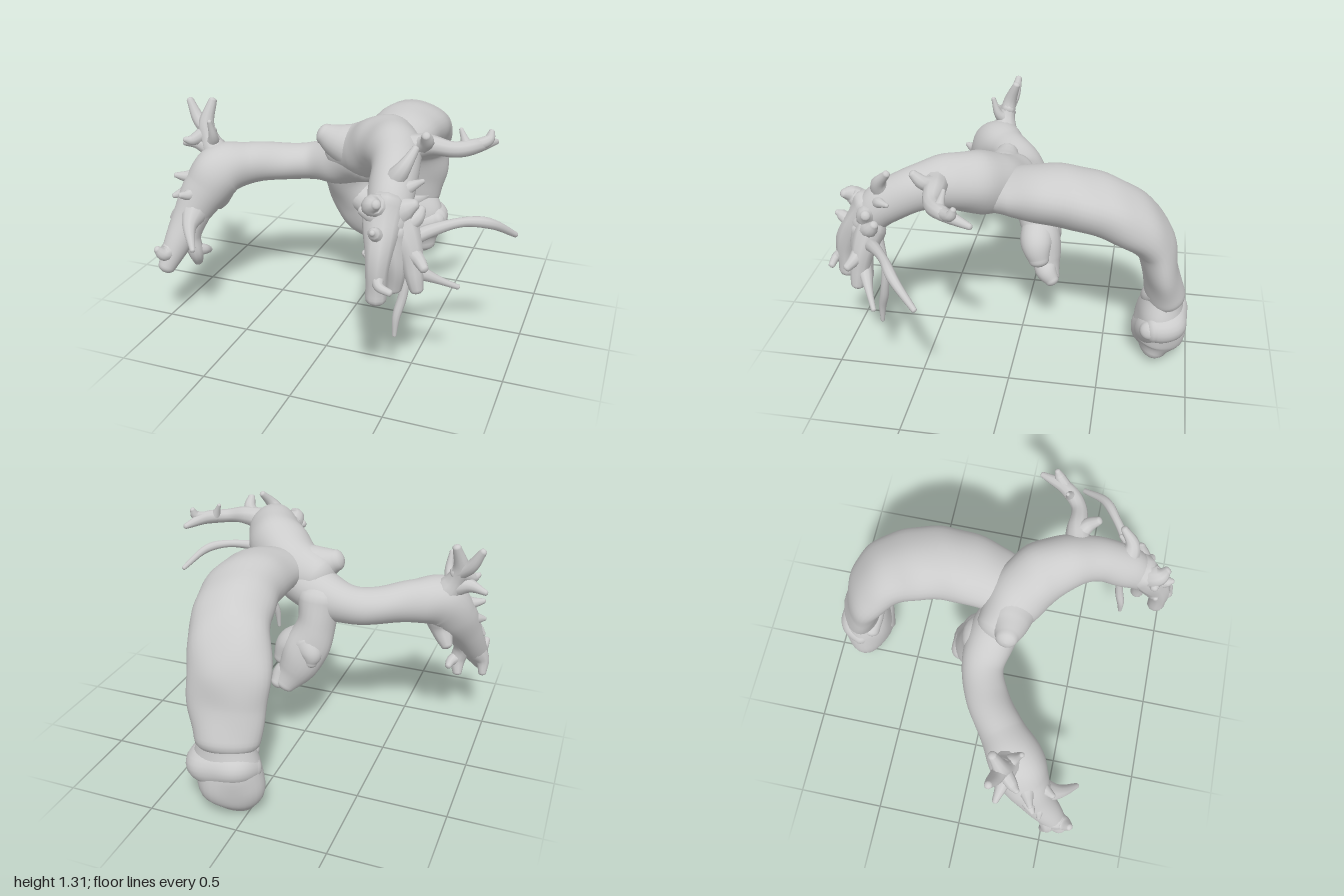
import * as THREE from 'three';

const material = new THREE.MeshStandardMaterial({ color: 0xcccccc });

// Gentle, repeatable unevenness of the vessel wall
const lump = (p) => Math.sin(p.x * 23 + 1) * Math.sin(p.y * 19 + 2) + 0.6 * Math.sin(p.z * 27 + p.x * 13);

// Closed, round-ended tube through points [x, y, z, radius, optional second radius]
function vessel(name, points, { sides = 14, bumps = 0.05, cap = 0.7 } = {}) {
  const path = new THREE.CatmullRomCurve3(points.map(p => new THREE.Vector3(p[0], p[1], p[2])));
  const size = new THREE.CatmullRomCurve3(
    points.map(p => new THREE.Vector3(p[3], p[4] ?? p[3], 0)), false, 'catmullrom');
  const steps = (points.length - 1) * 8, rings = [];
  let normal = null;
  const addRing = (t, shift, scale) => {
    const tangent = path.getTangent(t), s = size.getPoint(t);
    if (!normal) normal = Math.abs(tangent.x) < 0.8 ? new THREE.Vector3(1, 0, 0) : new THREE.Vector3(0, 0, 1);
    normal.addScaledVector(tangent, -normal.dot(tangent)).normalize();
    const binormal = new THREE.Vector3().crossVectors(tangent, normal);
    const centre = path.getPoint(t).addScaledVector(tangent, shift * Math.min(s.x, s.y) * cap);
    rings.push({ centre, n: normal.clone(), b: binormal, rx: s.x * scale, ry: s.y * scale });
  };
  for (let k = 5; k > 0; k--) addRing(0, -Math.sin(k * Math.PI / 10), Math.cos(k * Math.PI / 10) + 0.001);
  for (let i = 0; i <= steps; i++) addRing(i / steps, 0, 1);
  for (let k = 1; k <= 5; k++) addRing(1, Math.sin(k * Math.PI / 10), Math.cos(k * Math.PI / 10) + 0.001);

  const position = [], index = [], v = new THREE.Vector3();
  rings.forEach((r, i) => {
    for (let j = 0; j < sides; j++) {
      const a = j / sides * Math.PI * 2;
      v.copy(r.n).multiplyScalar(Math.cos(a) * r.rx).addScaledVector(r.b, Math.sin(a) * r.ry);
      const q = v.clone().add(r.centre);
      v.multiplyScalar(1 + bumps * lump(q)).add(r.centre);
      position.push(v.x, v.y, v.z);
      if (i < rings.length - 1) {
        const p = i * sides + j, n = i * sides + (j + 1) % sides;
        index.push(p, n, p + sides, n, n + sides, p + sides);
      }
    }
  });
  const geometry = new THREE.BufferGeometry();
  geometry.setAttribute('position', new THREE.Float32BufferAttribute(position, 3));
  geometry.setIndex(index);
  geometry.computeVertexNormals();
  const mesh = new THREE.Mesh(geometry, material);
  mesh.name = name;
  return mesh;
}

// A named bunch of vessels or lobes
function cluster(name, paths, options = { sides: 10, bumps: 0.12 }) {
  const group = new THREE.Group();
  group.name = name;
  paths.forEach((p, i) => group.add(vessel(`${name}${i + 1}`, p, options)));
  return group;
}

export function createModel() {
  const model = new THREE.Group();
  model.name = 'branchingVessel';
  const big = { sides: 32, bumps: 0.025 };

  // Wide arched trunk
  model.add(vessel('trunk', [
    [0.18, 1.04, 0.08, 0.16, 0.11], [0.19, 1.05, 0, 0.185, 0.125], [0.22, 1.065, -0.2, 0.2, 0.155],
    [0.22, 1.035, -0.42, 0.212, 0.152], [0.185, 0.94, -0.61, 0.215, 0.145], [0.125, 0.79, -0.745, 0.222, 0.12],
    [0.12, 0.6, -0.8, 0.21, 0.1], [0.11, 0.43, -0.84, 0.178, 0.112]], big));

  // Bulb at the lower end of the trunk, with its rim and folds
  model.add(vessel('bulb', [
    [0.12, 0.42, -0.84, 0.15, 0.1], [0.12, 0.32, -0.83, 0.18, 0.135], [0.11, 0.22, -0.83, 0.19, 0.15],
    [0.11, 0.13, -0.825, 0.185, 0.14], [0.12, 0.06, -0.81, 0.15, 0.09]], { sides: 32, bumps: 0.04 }));
  model.add(cluster('bulbFold', [
    [[-0.02, 0.28, -0.82, 0.065], [0.03, 0.3, -0.885, 0.08], [0.14, 0.29, -0.9, 0.085], [0.24, 0.27, -0.87, 0.09], [0.27, 0.27, -0.79, 0.075]],
    [[0, 0.34, -0.77, 0.05], [0.12, 0.4, -0.77, 0.06], [0.21, 0.45, -0.79, 0.035]],
    [[0.14, 0.2, -0.8, 0.13], [0.24, 0.25, -0.78, 0.09], [0.3, 0.28, -0.77, 0.05]],
  ], { sides: 20, bumps: 0.06 }));

  // Two main branches and the knob where they meet
  model.add(vessel('leftBranch', [
    [-0.06, 1.01, 0.05, 0.125], [0.1, 1.05, 0.11, 0.158], [0.24, 1.115, 0.21, 0.17], [0.34, 1.15, 0.37, 0.142],
    [0.395, 1.115, 0.53, 0.12], [0.42, 1.04, 0.67, 0.115], [0.44, 0.93, 0.78, 0.09]], big));
  model.add(vessel('rightBranch', [
    [0.1, 1, 0.1, 0.14], [-0.1, 0.93, 0.02, 0.135], [-0.27, 0.895, 0.005, 0.115, 0.108], [-0.42, 0.895, 0.06, 0.118, 0.104],
    [-0.6, 0.9, 0.18, 0.122], [-0.72, 0.88, 0.275, 0.148], [-0.79, 0.78, 0.34, 0.135],
    [-0.86, 0.64, 0.42, 0.1], [-0.9, 0.5, 0.51, 0.078], [-0.94, 0.37, 0.59, 0.05]], big));
  model.add(vessel('junctionKnob', [
    [0.08, 1.04, 0.1, 0.15], [-0.06, 1.07, 0.11, 0.105], [-0.15, 1.105, 0.11, 0.06]], { sides: 24, bumps: 0.03 }));

  // Lobed pouch hanging under the junction
  model.add(cluster('hangingPouch', [
    [[-0.1, 0.92, -0.02, 0.125], [-0.09, 0.78, -0.06, 0.115, 0.11], [-0.05, 0.64, -0.11, 0.13, 0.105], [0.01, 0.5, -0.14, 0.1, 0.09], [0.06, 0.42, -0.18, 0.065, 0.05]],
    [[-0.04, 0.7, -0.08, 0.09], [0.06, 0.63, -0.09, 0.085], [0.09, 0.55, -0.11, 0.06]],
    [[0, 0.52, -0.13, 0.07], [0.07, 0.47, -0.15, 0.065], [0.1, 0.42, -0.19, 0.04]],
    [[-0.06, 0.68, -0.13, 0.08], [-0.1, 0.63, -0.16, 0.065], [-0.1, 0.58, -0.17, 0.04]],
  ], { sides: 22, bumps: 0.05 }));

  // Left side: forked vessel at the top
  model.add(cluster('leftUpperTwig', [
    [[0.38, 1.19, 0.4, 0.075], [0.5, 1.205, 0.37, 0.06], [0.64, 1.195, 0.35, 0.043], [0.74, 1.2, 0.27, 0.04], [0.81, 1.18, 0.12, 0.016]],
    [[0.73, 1.2, 0.28, 0.035], [0.79, 1.22, 0.22, 0.03], [0.8, 1.26, 0.2, 0.015]],
    [[0.7, 1.2, 0.3, 0.035], [0.68, 1.24, 0.29, 0.022], [0.66, 1.28, 0.28, 0.012]],
    [[0.47, 1.2, 0.37, 0.06], [0.52, 1.24, 0.42, 0.04], [0.53, 1.29, 0.47, 0.02]],
    [[0.42, 1.1, 0.66, 0.06], [0.48, 1.19, 0.67, 0.04], [0.52, 1.27, 0.61, 0.02]],
    [[0.43, 1.05, 0.7, 0.05], [0.52, 1.1, 0.66, 0.03], [0.56, 1.11, 0.61, 0.015]],
  ]));
  // Left side: bunch at the end of the branch
  model.add(cluster('leftLowerVessel', [
    [[0.42, 1.02, 0.75, 0.095], [0.43, 0.9, 0.84, 0.085], [0.43, 0.75, 0.9, 0.06], [0.43, 0.61, 0.91, 0.058]],
    [[0.46, 0.9, 0.78, 0.085], [0.49, 0.76, 0.8, 0.06], [0.48, 0.61, 0.79, 0.04]],
    [[0.48, 0.92, 0.73, 0.085], [0.55, 0.82, 0.77, 0.07], [0.58, 0.71, 0.79, 0.05], [0.6, 0.63, 0.8, 0.035]],
    [[0.41, 1.01, 0.78, 0.07], [0.39, 1.06, 0.86, 0.05], [0.42, 1.08, 0.89, 0.025]],
    [[0.42, 0.97, 0.8, 0.07], [0.37, 1.01, 0.84, 0.038], [0.33, 1.02, 0.84, 0.02]],
    [[0.43, 0.9, 0.85, 0.05], [0.42, 0.95, 0.92, 0.035], [0.42, 0.96, 0.94, 0.018]],
    [[0.45, 0.86, 0.84, 0.05], [0.39, 0.81, 0.87, 0.035], [0.36, 0.82, 0.88, 0.016]],
    [[0.45, 0.97, 0.75, 0.08], [0.52, 1.02, 0.74, 0.05], [0.56, 1.04, 0.73, 0.025]],
  ]));
  model.add(cluster('leftLowerTwig', [
    [[0.44, 0.74, 0.9, 0.04], [0.46, 0.7, 0.96, 0.025], [0.52, 0.68, 0.97, 0.016]],
    [[0.5, 0.92, 0.76, 0.05], [0.56, 0.96, 0.71, 0.035], [0.58, 1, 0.68, 0.02]],
    [[0.5, 0.85, 0.77, 0.06], [0.6, 0.79, 0.8, 0.04], [0.64, 0.76, 0.83, 0.025]],
    [[0.52, 0.84, 0.75, 0.04], [0.63, 0.89, 0.67, 0.03], [0.76, 0.915, 0.58, 0.024], [0.88, 0.89, 0.5, 0.027], [0.985, 0.79, 0.37, 0.014]],
    [[0.56, 0.72, 0.77, 0.04], [0.66, 0.66, 0.72, 0.025], [0.77, 0.6, 0.66, 0.013]],
    [[0.49, 0.86, 0.7, 0.03], [0.51, 0.7, 0.67, 0.02], [0.5, 0.52, 0.69, 0.024], [0.475, 0.4, 0.72, 0.02], [0.47, 0.3, 0.73, 0.012]],
  ]));

  // Right side: upright sprig on the bend
  model.add(cluster('rightUpperTwig', [
    [[-0.74, 0.94, 0.25, 0.09], [-0.8, 1.03, 0.24, 0.055], [-0.83, 1.12, 0.22, 0.045], [-0.81, 1.25, 0.17, 0.022]],
    [[-0.81, 1.08, 0.23, 0.045], [-0.89, 1.14, 0.2, 0.035], [-0.95, 1.24, 0.18, 0.024]],
    [[-0.76, 0.98, 0.25, 0.06], [-0.88, 1.01, 0.24, 0.04], [-0.98, 0.99, 0.22, 0.018]],
    [[-0.79, 1.02, 0.24, 0.045], [-0.76, 1.07, 0.28, 0.03], [-0.76, 1.17, 0.31, 0.016]],
    [[-0.83, 1.08, 0.23, 0.04], [-0.89, 1.04, 0.29, 0.03], [-0.92, 1.05, 0.32, 0.015]],
  ]));
  // Right side: drooping legs and side sprouts
  model.add(cluster('rightLowerTwig', [
    [[-0.84, 0.66, 0.41, 0.09], [-0.84, 0.52, 0.46, 0.055], [-0.82, 0.43, 0.46, 0.045], [-0.83, 0.35, 0.43, 0.025]],
    [[-0.83, 0.45, 0.47, 0.04], [-0.79, 0.43, 0.42, 0.032], [-0.78, 0.41, 0.38, 0.02]],
    [[-0.92, 0.46, 0.54, 0.06], [-0.94, 0.46, 0.61, 0.04], [-0.96, 0.5, 0.64, 0.02]],
    [[-0.9, 0.5, 0.5, 0.065], [-0.96, 0.42, 0.52, 0.04], [-0.97, 0.34, 0.5, 0.025]],
    [[-0.82, 0.67, 0.45, 0.07], [-0.8, 0.62, 0.54, 0.04], [-0.73, 0.53, 0.64, 0.014]],
    [[-0.85, 0.65, 0.43, 0.07], [-0.92, 0.66, 0.45, 0.035], [-0.96, 0.62, 0.46, 0.015]],
    [[-0.76, 0.85, 0.32, 0.09], [-0.88, 0.85, 0.37, 0.04], [-0.95, 0.86, 0.4, 0.015]],
    [[-0.8, 0.76, 0.36, 0.09], [-0.9, 0.75, 0.38, 0.045], [-0.96, 0.74, 0.42, 0.015]],
    [[-0.73, 0.82, 0.27, 0.1], [-0.74, 0.72, 0.26, 0.07], [-0.79, 0.63, 0.22, 0.03]],
    [[-0.71, 0.83, 0.32, 0.09], [-0.71, 0.76, 0.34, 0.06], [-0.7, 0.73, 0.35, 0.03]],
    [[-0.78, 0.82, 0.34, 0.07], [-0.83, 0.78, 0.46, 0.035], [-0.86, 0.79, 0.51, 0.016]],
  ]));
  return model;
}
